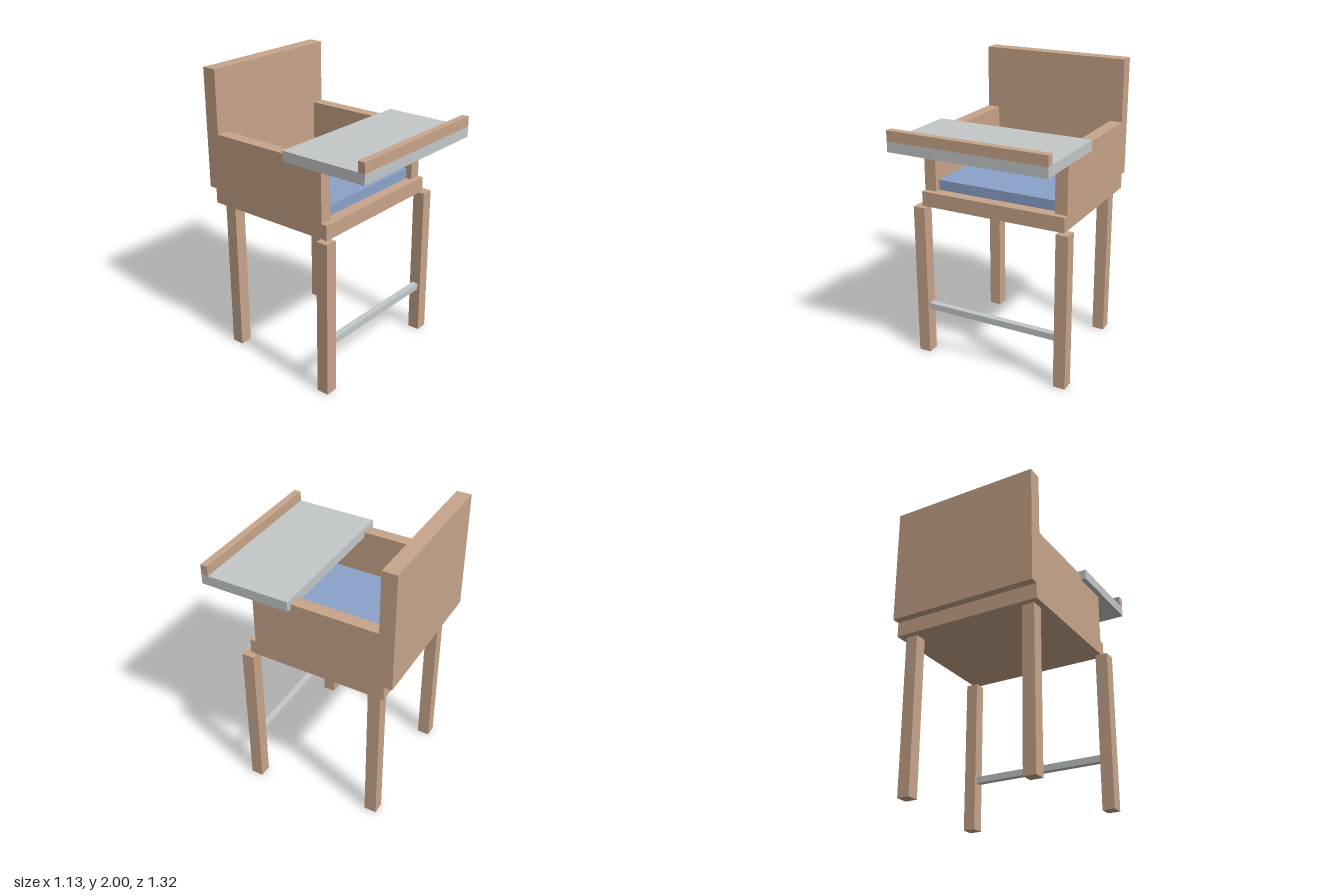
import * as THREE from 'three';

export function createModel() {
  const model = new THREE.Group();
  model.name = 'highChair';

  const material = (name, color) => {
    const m = new THREE.MeshStandardMaterial({ color });
    m.name = name;
    return m;
  };
  const wood = material('wood', 0xc8a58a);
  const grey = material('greyPanel', 0xc4c8c9);
  const blue = material('blueCushion', 0x8aa2ca);

  // Adds a box given by its extents along each axis
  const box = (name, mat, [x0, x1], [y0, y1], [z0, z1]) => {
    const mesh = new THREE.Mesh(new THREE.BoxGeometry(x1 - x0, y1 - y0, z1 - z0), mat);
    mesh.position.set((x0 + x1) / 2, (y0 + y1) / 2, (z0 + z1) / 2);
    mesh.name = name;
    model.add(mesh);
  };

  // Seat, cushion and backrest
  box('seat', wood, [-0.52, 0.52], [1.083, 1.185], [-0.605, 0.35]);
  box('cushion', blue, [-0.435, 0.435], [1.185, 1.255], [-0.525, 0.27]);
  box('backrest', wood, [-0.52, 0.52], [1.185, 2], [-0.66, -0.56]);

  // Mirrored arms and legs; the front legs stand wider than the back ones
  for (const [side, s] of [['left', 1], ['right', -1]]) {
    const span = (a, b) => (s > 0 ? [a, b] : [-b, -a]);
    box(side + 'Arm', wood, span(0.435, 0.52), [1.185, 1.57], [-0.56, 0.31]);
    box(side + 'FrontLeg', wood, span(0.48, 0.565), [0, 1.083], [0.305, 0.39]);
    box(side + 'BackLeg', wood, span(0.393, 0.478), [0, 1.083], [-0.563, -0.478]);
  }

  // Foot rail between the front legs
  box('footRail', grey, [-0.48, 0.48], [0.33, 0.375], [0.325, 0.37]);

  // Tray with a raised front lip
  box('tray', grey, [-0.555, 0.555], [1.535, 1.605], [0.035, 0.66]);
  box('trayLip', wood, [-0.555, 0.555], [1.605, 1.675], [0.61, 0.66]);

  return model;
}
